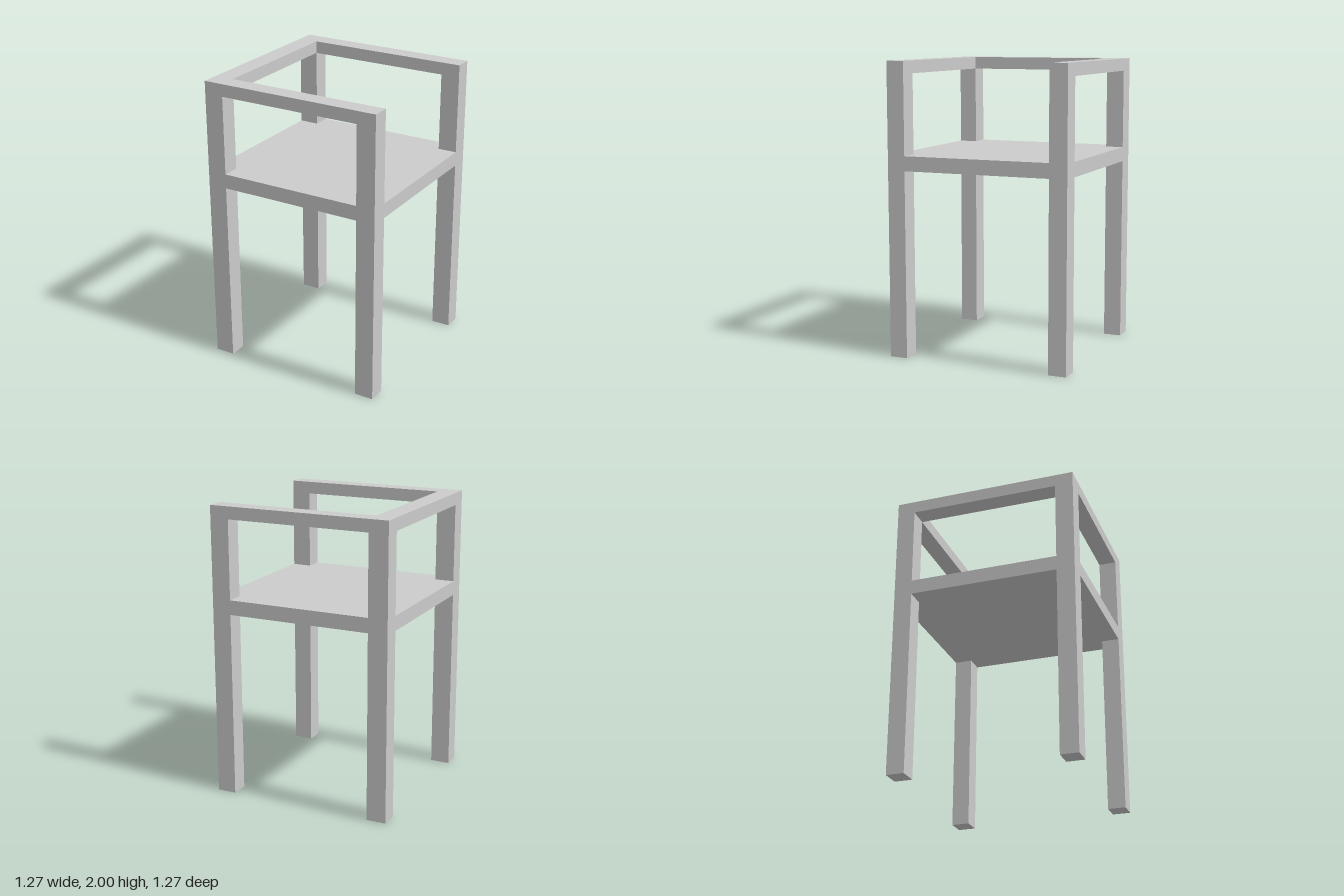
import * as THREE from 'three';

// Outer faces and the inner edges of the legs
const X0 = -0.635, X1 = 0.632, XI0 = -0.5, XI1 = 0.5;
const Z = 0.635, ZI = 0.512;
const RAIL_Y = 1.915, TOP = 2, SEAT_Y = 1.275, SEAT_TOP = 1.375;

export function createModel() {
  const group = new THREE.Group();
  const material = new THREE.MeshStandardMaterial({ color: 0xcccccc, flatShading: true });

  function add(name, geometry) {
    const mesh = new THREE.Mesh(geometry, material);
    mesh.name = name;
    group.add(mesh);
    return mesh;
  }

  // Horizontal slab from a plan outline of [x, z] corners
  function slab(name, corners, y0, y1) {
    const shape = new THREE.Shape(corners.map(([x, z]) => new THREE.Vector2(x, -z)));
    const geometry = new THREE.ExtrudeGeometry(shape, { depth: y1 - y0, bevelEnabled: false });
    geometry.rotateX(-Math.PI / 2);
    add(name, geometry).position.y = y0;
  }

  // Four square legs, running up past the seat to the top rail
  for (const [side, a, b] of [['right', X0, XI0], ['left', XI1, X1]]) {
    for (const [end, s] of [['Front', 1], ['Back', -1]]) {
      const leg = add(`${side}${end}Leg`, new THREE.BoxGeometry(b - a, RAIL_Y, Z - ZI));
      leg.position.set((a + b) / 2, RAIL_Y / 2, s * (Z + ZI) / 2);
    }
  }

  // Seat, flush with the outside of the legs and notched around them
  slab('seat', [
    [XI0, Z], [XI1, Z], [XI1, ZI], [X1, ZI], [X1, -ZI], [XI1, -ZI],
    [XI1, -Z], [XI0, -Z], [XI0, -ZI], [X0, -ZI], [X0, ZI], [XI0, ZI],
  ], SEAT_Y, SEAT_TOP);

  // U-shaped top rail: two arms and a backrest, open towards +x
  slab('topRail', [
    [X0, Z], [X1, Z], [X1, ZI], [XI0, ZI],
    [XI0, -ZI], [X1, -ZI], [X1, -Z], [X0, -Z],
  ], RAIL_Y, TOP);

  return group;
}
